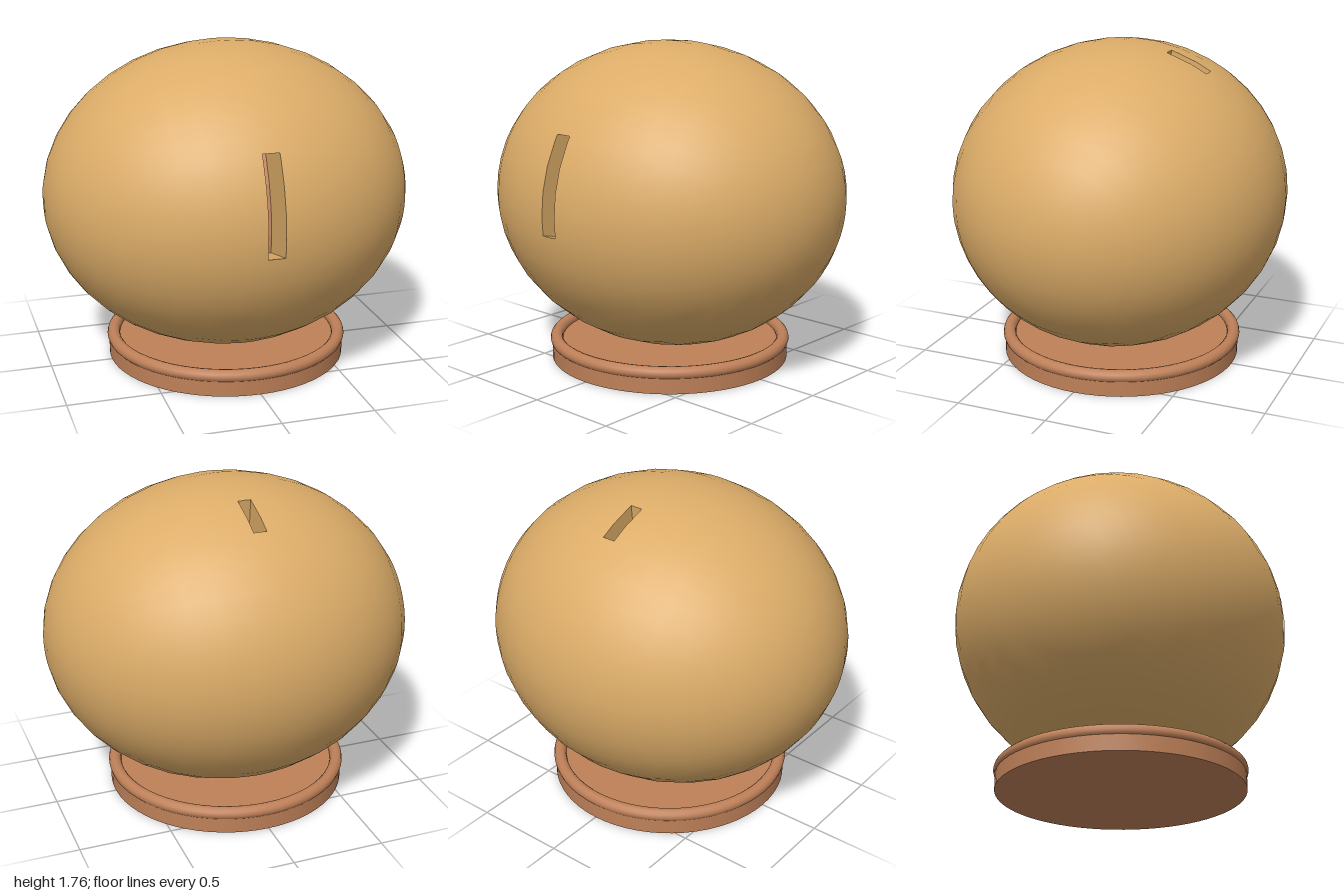
import * as THREE from 'three';

const RAD = Math.PI / 180;
const CENTER_Y = 0.93, RY = 0.83, RZ = 0.9;

// Slots cut in the shell: half width, angular span around x, inward offset (y, z)
const SLOTS = [
  { name: 'frontSlot', half: 0.045, from: -6.6, to: 29.6, dy: -0.05, dz: -0.23 },
  { name: 'topSlot', half: 0.035, from: 107.5, to: 123, dy: -0.15, dz: 0.015 },
];

const tan = new THREE.MeshStandardMaterial({ color: 0xdcac68 });
tan.name = 'tan';
const tanInner = tan.clone();
tanInner.name = 'tan lining';
tanInner.side = THREE.DoubleSide;
const brown = new THREE.MeshStandardMaterial({ color: 0xbe8058 });
brown.name = 'clay brown';
const pink = new THREE.MeshStandardMaterial({ color: 0xc88866, side: THREE.DoubleSide });
pink.name = 'pinkish clay';

// Point on the ellipsoid; a runs from right to left, p turns around the x axis
function surface(a, p) {
  const c = Math.cos(a * RAD);
  return new THREE.Vector3(
    Math.sin(a * RAD),
    CENTER_Y + RY * c * Math.sin(p * RAD),
    RZ * c * Math.cos(p * RAD)
  );
}

// Evenly stepped angles plus the slot edges
function angles(start, end, extra) {
  const list = [...extra];
  for (let d = start; d <= end; d += 9) list.push(d);
  return list.sort((m, n) => m - n);
}

const slotAngle = (s) => Math.asin(s.half) / RAD;
const ROWS = angles(-90, 90, SLOTS.flatMap((s) => [-slotAngle(s), slotAngle(s)]));
const COLS = angles(-18, 342, SLOTS.flatMap((s) => [s.from, s.to]));

function geometryFromQuads(quads) {
  const points = quads.flatMap(([a, b, c, d]) => [a, b, c, a, c, d]);
  return new THREE.BufferGeometry().setFromPoints(points);
}

// Ellipsoid shell that leaves out the cells inside the slots
function shellGeometry() {
  const quads = [];
  for (let i = 0; i < ROWS.length - 1; i++) {
    for (let j = 0; j < COLS.length - 1; j++) {
      const a = (ROWS[i] + ROWS[i + 1]) / 2, p = (COLS[j] + COLS[j + 1]) / 2;
      if (SLOTS.some((s) => Math.abs(a) < slotAngle(s) && p > s.from && p < s.to)) continue;
      quads.push([
        surface(ROWS[i], COLS[j]), surface(ROWS[i + 1], COLS[j]),
        surface(ROWS[i + 1], COLS[j + 1]), surface(ROWS[i], COLS[j + 1]),
      ]);
    }
  }
  const geo = geometryFromQuads(quads);
  const pos = geo.attributes.position;
  const normals = [];
  const n = new THREE.Vector3();
  for (let i = 0; i < pos.count; i++) {
    n.set(pos.getX(i), (pos.getY(i) - CENTER_Y) / RY ** 2, pos.getZ(i) / RZ ** 2).normalize();
    normals.push(n.x, n.y, n.z);
  }
  geo.setAttribute('normal', new THREE.Float32BufferAttribute(normals, 3));
  return geo;
}

// Walls and floor of a slot, made by pushing its rim inward
function slotGroup(slot) {
  const group = new THREE.Group();
  group.name = slot.name;
  const a = slotAngle(slot);
  const cols = COLS.filter((p) => p >= slot.from && p <= slot.to);
  const inward = new THREE.Vector3(0, slot.dy, slot.dz);
  const push = (v) => v.clone().add(inward);
  const right = cols.map((p) => surface(-a, p));
  const left = cols.map((p) => surface(a, p));
  const walls = [], floor = [];
  for (let j = 0; j < cols.length - 1; j++) {
    walls.push([right[j], right[j + 1], push(right[j + 1]), push(right[j])]);
    walls.push([left[j + 1], left[j], push(left[j]), push(left[j + 1])]);
    floor.push([push(right[j]), push(left[j]), push(left[j + 1]), push(right[j + 1])]);
  }
  const e = cols.length - 1;
  walls.push([left[0], right[0], push(right[0]), push(left[0])]);
  walls.push([right[e], left[e], push(left[e]), push(right[e])]);
  for (const [name, quads, mat] of [['slotWalls', walls, tanInner], ['slotFloor', floor, pink]]) {
    const geo = geometryFromQuads(quads);
    geo.computeVertexNormals();
    const mesh = new THREE.Mesh(geo, mat);
    mesh.name = name;
    group.add(mesh);
  }
  return group;
}

export function createModel() {
  const model = new THREE.Group();
  model.name = 'slottedBall';

  const shell = new THREE.Mesh(shellGeometry(), tan);
  shell.name = 'shell';
  model.add(shell);
  SLOTS.forEach((s) => model.add(slotGroup(s)));

  // Round stand with a rolled rim
  const stand = new THREE.Mesh(new THREE.CylinderGeometry(0.66, 0.66, 0.1, 64), brown);
  stand.name = 'stand';
  stand.position.y = 0.05;
  const rim = new THREE.Mesh(new THREE.TorusGeometry(0.635, 0.035, 12, 64), brown);
  rim.name = 'standRim';
  rim.rotation.x = Math.PI / 2;
  rim.position.y = 0.107;
  model.add(stand, rim);

  return model;
}
